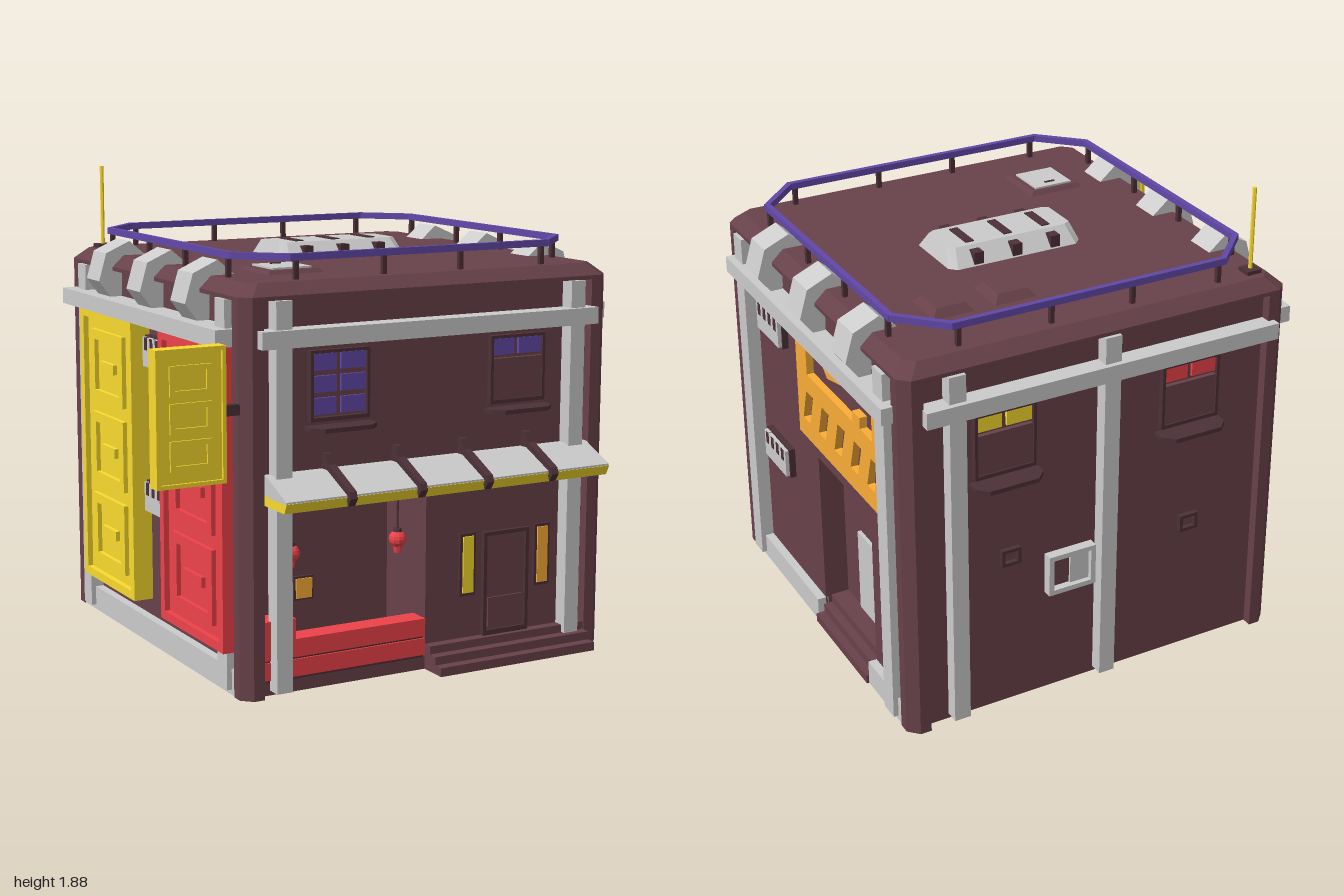
import * as THREE from 'three';

const colors = { wall: 0x68414a, dark: 0x4c3038, grey: 0xcccccc, orange: 0xfbad38, yellow: 0xfadb2e, red: 0xee434a, purple: 0x6248a8 };
const mats = {};
for (const k in colors) mats[k] = new THREE.MeshStandardMaterial({ color: colors[k], flatShading: true });

export function createModel() {
  const root = new THREE.Group();
  const add = (name, mat, geo) => {
    const m = new THREE.Mesh(geo, mats[mat]);
    m.name = name;
    root.add(m);
    return m;
  };
  // box given by its limits, in any order
  const box = (name, mat, x0, x1, y0, y1, z0, z1) =>
    add(name, mat, new THREE.BoxGeometry(Math.abs(x1 - x0), Math.abs(y1 - y0), Math.abs(z1 - z0))
      .translate((x0 + x1) / 2, (y0 + y1) / 2, (z0 + z1) / 2));
  const extrude = (pts, depth, holes = []) => {
    const v = (list) => list.map((p) => new THREE.Vector2(p[0], p[1]));
    const s = new THREE.Shape(v(pts));
    s.holes = holes.map((h) => new THREE.Path(v(h)));
    return new THREE.ExtrudeGeometry(s, { depth, bevelEnabled: false });
  };
  // profiles: [z, y] along x, and [x, z] along y
  const alongX = (pts, x0, x1, holes) => extrude(pts, x1 - x0, holes).rotateY(-Math.PI / 2).translate(x1, 0, 0);
  const alongY = (pts, y0, y1) => extrude(pts, y1 - y0).rotateX(Math.PI / 2).translate(0, y1, 0);
  const octagon = (x0, x1, z0, z1, c) => [[x0 + c, z0], [x1 - c, z0], [x1, z0 + c], [x1, z1 - c],
    [x1 - c, z1], [x0 + c, z1], [x0, z1 - c], [x0, z0 + c]];
  // narrow everything above a height towards a centre
  const taper = (geo, yMin, cx, cz, sx, sz) => {
    const p = geo.attributes.position;
    for (let i = 0; i < p.count; i++) if (p.getY(i) > yMin) {
      p.setX(i, cx + (p.getX(i) - cx) * sx);
      p.setZ(i, cz + (p.getZ(i) - cz) * sz);
    }
    geo.computeVertexNormals();
    return geo;
  };
  const rect = (a0, a1, b0, b1) => [[a0, b0], [a1, b0], [a1, b1], [a0, b1]];

  // walls: lower storey with shop and side-door recesses, plain upper storey
  box('floor', 'wall', -0.63, 0.9, 0, 0.05, -0.83, 0.71);
  add('lowerWalls', 'wall', alongY([[-0.63, -0.83], [0.9, -0.83], [0.9, -0.485], [0.8, -0.485], [0.8, 0], [0.9, 0],
    [0.9, 0.71], [0.13, 0.71], [0.13, 0.42], [-0.57, 0.42], [-0.57, 0.71], [-0.63, 0.71]], 0.04, 0.755));
  box('upperWalls', 'wall', -0.63, 0.9, 0.755, 1.49, -0.83, 0.71);

  // corner posts, top band and bevelled roof
  for (const sx of [-1, 1]) for (const sz of [-1, 1]) {
    const pts = [[0.72, 0.725], [0.805, 0.725], [0.805, 0.77], [0.765, 0.81], [0.72, 0.81]];
    add('cornerPost', 'wall', alongY(pts.map(([x, z]) => [0.135 + sx * x, -0.06 + sz * z]), 0, 1.49));
  }
  const plan = octagon(-0.67, 0.94, -0.87, 0.75, 0.04);
  add('roofBand', 'wall', alongY(plan, 1.48, 1.495));
  add('roof', 'wall', taper(alongY(plan, 1.495, 1.54), 1.51, 0.135, -0.06, 0.94, 0.94));

  // grey beams, columns and base strips
  box('frontBeam', 'grey', -0.61, 0.86, 1.31, 1.375, 0.7, 0.79);
  box('backBeam', 'grey', -0.61, 0.86, 1.31, 1.375, -0.82, -0.905);
  box('leftBeam', 'grey', -0.62, -0.735, 1.31, 1.375, -0.8, 0.66);
  box('rightBeam', 'grey', 0.89, 0.985, 1.31, 1.375, -0.8, 0.66);
  box('frontColumn', 'grey', -0.545, -0.48, 0.02, 1.48, 0.7, 0.77);
  box('frontColumn', 'grey', 0.745, 0.81, 0.07, 1.48, 0.7, 0.77);
  for (const x of [0.1, 0.73]) box('backColumn', 'grey', x - 0.033, x + 0.033, 0.02, 1.48, -0.82, -0.885);
  for (const z of [0.595, -0.71]) {
    box('rightColumn', 'grey', 0.89, 0.955, 0.02, 1.48, z - 0.04, z + 0.04);
    box('leftColumn', 'grey', -0.62, -0.685, 0.02, 1.48, z - 0.04, z + 0.04);
  }
  box('rightBase', 'grey', 0.89, 0.935, 0, 0.1, 0, 0.655);
  box('rightBase', 'grey', 0.89, 0.935, 0, 0.1, -0.485, -0.79);
  box('leftBase', 'grey', -0.62, -0.665, 0, 0.1, -0.79, 0.655);

  // shop counter, wares and lanterns
  box('shopFloor', 'grey', -0.56, 0.12, 0.05, 0.06, 0.43, 0.62);
  box('counter', 'red', -0.57, 0.125, 0.06, 0.127, 0.63, 0.72);
  box('counter', 'red', -0.57, 0.125, 0.135, 0.205, 0.63, 0.72);
  box('counterGroove', 'dark', -0.565, 0.12, 0.05, 0.2, 0.635, 0.713);
  box('counterEnd', 'red', -0.57, -0.44, 0.205, 0.285, 0.63, 0.72);
  box('screenFrame', 'dark', -0.295, -0.21, 0.26, 0.355, 0.415, 0.435);
  box('screen', 'orange', -0.288, -0.218, 0.268, 0.347, 0.43, 0.44);
  for (const x of [-0.445, 0.015]) {
    add('lantern', 'red', new THREE.SphereGeometry(0.034, 10, 8).translate(x, 0.528, 0.69));
    add('lanternTassel', 'red', new THREE.CylinderGeometry(0.018, 0.014, 0.025, 8).translate(x, 0.487, 0.69));
    add('lanternCap', 'dark', new THREE.CylinderGeometry(0.014, 0.018, 0.015, 8).translate(x, 0.563, 0.69));
    add('lanternCord', 'dark', new THREE.CylinderGeometry(0.004, 0.004, 0.18, 6).translate(x, 0.65, 0.69));
  }

  // front door, side lights and steps
  box('frontStep', 'wall', 0.13, 0.85, 0, 0.035, 0.7, 0.83);
  box('frontStep', 'wall', 0.13, 0.85, 0.03, 0.068, 0.7, 0.79);
  box('frontStep', 'wall', 0.13, 0.85, 0.06, 0.1, 0.7, 0.75);
  add('frontDoorFrame', 'dark', extrude(rect(0.385, 0.595, 0.1, 0.515), 0.03, [rect(0.4, 0.58, 0.12, 0.5)]).translate(0, 0, 0.7));
  box('frontDoor', 'wall', 0.4, 0.58, 0.12, 0.5, 0.7, 0.718);
  box('doorPanel', 'wall', 0.41, 0.57, 0.13, 0.25, 0.7, 0.726);
  for (const [x, m] of [[0.315, 'yellow'], [0.663, 'orange']]) {
    box('sideLightFrame', 'dark', x - 0.036, x + 0.036, 0.27, 0.52, 0.7, 0.722);
    box('sideLight', m, x - 0.024, x + 0.024, 0.283, 0.508, 0.7, 0.728);
  }

  // awning with valance and ribs
  add('awning', 'grey', alongX([[0.7, 0.84], [0.75, 0.84], [0.9, 0.775], [0.9, 0.765], [0.7, 0.765]], -0.575, 0.845));
  add('awningValance', 'yellow', alongX([[0.7, 0.73], [0.885, 0.73], [0.903, 0.768], [0.7, 0.768]], -0.575, 0.845));
  for (const x of [-0.31, -0.012, 0.28, 0.575])
    add('awningRib', 'dark', alongX([[0.7, 0.9], [0.74, 0.9], [0.76, 0.862], [0.915, 0.79], [0.925, 0.765],
      [0.905, 0.735], [0.895, 0.76], [0.7, 0.82]], x - 0.015, x + 0.015));

  // windows: s = 1 front, -1 back; rows of lit panes from the top
  const windowAt = (cx, s, rows, mat) => {
    const z = s > 0 ? 0.71 : -0.83, f = (d) => z + s * d;
    const frame = extrude(rect(cx - 0.125, cx + 0.125, 1.02, 1.285), 0.025, [rect(cx - 0.113, cx + 0.113, 1.035, 1.273)]);
    add('windowFrame', 'dark', frame.translate(0, 0, Math.min(z, f(0.025))));
    for (let r = 0; r < rows; r++) for (const c of [-1, 1])
      box('windowPane', mat, cx + c * 0.01, cx + c * 0.113, 1.208 - r * 0.082, 1.27 - r * 0.082, f(-0.01), f(0.012));
    if (rows < 3) box('windowShutter', 'wall', cx - 0.113, cx + 0.113, 1.035, 1.195, f(-0.01), f(0.018));
    add('windowSill', 'dark', alongY([[cx - 0.14, f(-0.01)], [cx + 0.14, f(-0.01)], [cx + 0.14, f(0.05)],
      [cx + 0.1, f(0.09)], [cx - 0.1, f(0.09)], [cx - 0.14, f(0.05)]], 0.988, 1.005));
  };
  windowAt(-0.26, 1, 3, 'purple');
  windowAt(0.525, 1, 1, 'purple');
  windowAt(0.525, -1, 1, 'yellow');
  windowAt(-0.26, -1, 1, 'red');

  // back wall fittings
  add('coolerFrame', 'grey', extrude(rect(0.15, 0.35, 0.44, 0.61), 0.06, [rect(0.17, 0.33, 0.46, 0.59)]).translate(0, 0, -0.87));
  box('coolerGrille', 'wall', 0.17, 0.33, 0.46, 0.59, -0.82, -0.84);
  box('coolerFan', 'grey', 0.17, 0.25, 0.46, 0.59, -0.82, -0.85);
  for (const [x, y] of [[0.5, 0.65], [-0.28, 0.57]])
    add('backVent', 'dark', extrude(rect(x - 0.04, x + 0.04, y - 0.035, y + 0.035), 0.03,
      [rect(x - 0.027, x + 0.027, y - 0.022, y + 0.022)]).translate(0, 0, -0.85));

  // side wall vents
  for (const y of [1.19, 0.605]) for (const [x, s, cz] of [[0.9, 1, 0.363], [-0.63, -1, -0.02]]) {
    box('sideVentFrame', 'dark', x, x + s * 0.025, y - 0.064, y + 0.064, cz - 0.116, cz + 0.116);
    box('sideVent', 'grey', x, x + s * 0.04, y - 0.058, y + 0.058, cz - 0.108, cz + 0.108);
    for (let i = -1.5; i < 2; i++)
      box('sideVentSlot', 'dark', x, x + s * 0.042, y + 0.008, y + 0.058, cz + i * 0.052 - 0.012, cz + i * 0.052 + 0.012);
  }

  // right side: orange panel with cut-out pattern, door and steps
  const slits = [0, 1, 2, 3, 4].map((i) => {
    const z = 0.055 - i * 0.147;
    return [[z, 0.92], [z - 0.065, 0.92], [z - 0.105, 1.05], [z - 0.04, 1.05]];
  });
  const skyline = [[0, 1.13], [0, 1.25], [-0.105, 1.285], [-0.2, 1.205], [-0.41, 1.255], [-0.59, 1.255],
    [-0.59, 1.13], [-0.485, 1.13], [-0.485, 1.175], [-0.42, 1.175], [-0.42, 1.13]];
  add('orangePanel', 'orange', alongX(rect(-0.675, 0.1, 0.84, 1.31), 0.89, 0.93, [skyline, ...slits]));
  box('sideDoor', 'grey', 0.79, 0.815, 0.12, 0.475, -0.155, -0.33);
  for (let i = 0; i < 3; i++) box('sideStep', 'wall', 0.79, 0.945 - i * 0.035, 0, 0.035 * (i + 1), -0.485, 0);

  // left side: two tall boards with raised abstract fretwork
  for (const [mat, z0, z1] of [['yellow', -0.67, -0.15], ['red', 0.11, 0.66]]) {
    box('tallBoard', mat, -0.62, -0.69, 0.17, 1.31, z0, z1);
    add('tallBoardFrame', mat, alongX(rect(z0, z1, 0.17, 1.31), -0.712, -0.68, [rect(z0 + 0.035, z1 - 0.035, 0.205, 1.275)]));
    for (let i = 0; i < 3; i++) {
      const y = 0.25 + i * 0.345, a = z0 + 0.1, b = z1 - 0.1;
      add('tallBoardFret', mat, alongX(rect(a, b, y, y + 0.29), -0.708, -0.68, [rect(a + 0.04, b - 0.04, y + 0.04, y + 0.25)]));
      box('tallBoardBar', mat, -0.708, -0.68, y + 0.125, y + 0.165, a + 0.09, b - 0.09);
    }
  }

  // hanging board
  box('hangingBoard', 'yellow', -0.99, -0.735, 0.84, 1.32, 0.68, 0.72);
  add('hangingBoardFrame', 'yellow', extrude(rect(-1, -0.725, 0.83, 1.33), 0.06, [rect(-0.985, -0.74, 0.845, 1.315)]).translate(0, 0, 0.67));
  for (let i = 0; i < 3; i++) {
    const y = 0.89 + i * 0.135;
    add('hangingBoardFret', 'yellow', extrude(rect(-0.945, -0.78, y, y + 0.11), 0.056,
      [rect(-0.925, -0.8, y + 0.02, y + 0.09)]).translate(0, 0, 0.672));
  }
  box('hangingBracket', 'dark', -0.74, -0.65, 1.07, 1.11, 0.685, 0.715);

  // roof edge blocks on both sides
  for (const s of [-1, 1]) for (const z of [-0.48, -0.075, 0.335]) {
    const pts = [[0.77, 1.36], [0.805, 1.36], [0.865, 1.44], [0.832, 1.552], [0.73, 1.597], [0.65, 1.53], [0.75, 1.48]];
    const geo = extrude(pts.map(([x, y]) => [0.135 + s * x, y]), 0.13);
    add('roofEdgeBlock', 'grey', geo.translate(0, 0, z - 0.065));
  }

  // roof rail
  const rail = octagon(-0.59, 0.855, -0.78, 0.66, 0.16);
  rail.forEach(([x, z], i) => {
    const [x2, z2] = rail[(i + 1) % 8];
    const len = Math.hypot(x2 - x, z2 - z);
    const bar = add('roofRail', 'purple', new THREE.BoxGeometry(len + 0.012, 0.026, 0.022));
    bar.position.set((x + x2) / 2, 1.622, (z + z2) / 2);
    bar.rotation.y = -Math.atan2(z2 - z, x2 - x);
    for (const t of len > 0.5 ? [0.02, 0.35, 0.65, 0.98] : []) {
      const px = x + (x2 - x) * t, pz = z + (z2 - z) * t;
      box('railPost', 'dark', px - 0.009, px + 0.009, 1.53, 1.615, pz - 0.009, pz + 0.009);
    }
  });

  // skylight with dark slots
  add('skylight', 'grey', taper(alongY(octagon(-0.155, 0.42, -0.235, 0.09, 0.03), 1.53, 1.605), 1.57, 0.133, -0.073, 0.92, 0.58));
  for (const x of [-0.033, 0.132, 0.297]) {
    box('skylightSlot', 'dark', x - 0.018, x + 0.018, 1.58, 1.609, -0.145, -0.005);
    for (const z of [-0.2, 0.053]) box('skylightClip', 'dark', x - 0.02, x + 0.02, 1.54, 1.592, z - 0.022, z + 0.022);
  }

  // roof vents, hatch and antenna
  const frustum = (name, x0, x1, z0, z1, h, k) => add(name, 'wall',
    taper(alongY(rect(x0, x1, z0, z1), 1.535, 1.54 + h), 1.538, (x0 + x1) / 2, (z0 + z1) / 2, k, k));
  frustum('roofVent', 0.235, 0.415, -0.57, -0.385, 0.03, 0.66);
  frustum('roofVent', 0.49, 0.665, -0.57, -0.385, 0.03, 0.66);
  frustum('hatchBase', -0.44, -0.195, 0.26, 0.505, 0.015, 0.84);
  box('hatch', 'grey', -0.4, -0.235, 1.54, 1.562, 0.295, 0.465);
  box('hatchHandle', 'dark', -0.34, -0.295, 1.56, 1.566, 0.325, 0.333);
  box('antennaBase', 'dark', -0.597, -0.535, 1.53, 1.555, -0.792, -0.73);
  add('antenna', 'yellow', new THREE.CylinderGeometry(0.008, 0.008, 0.34, 6).translate(-0.566, 1.71, -0.761));

  return root;
}
